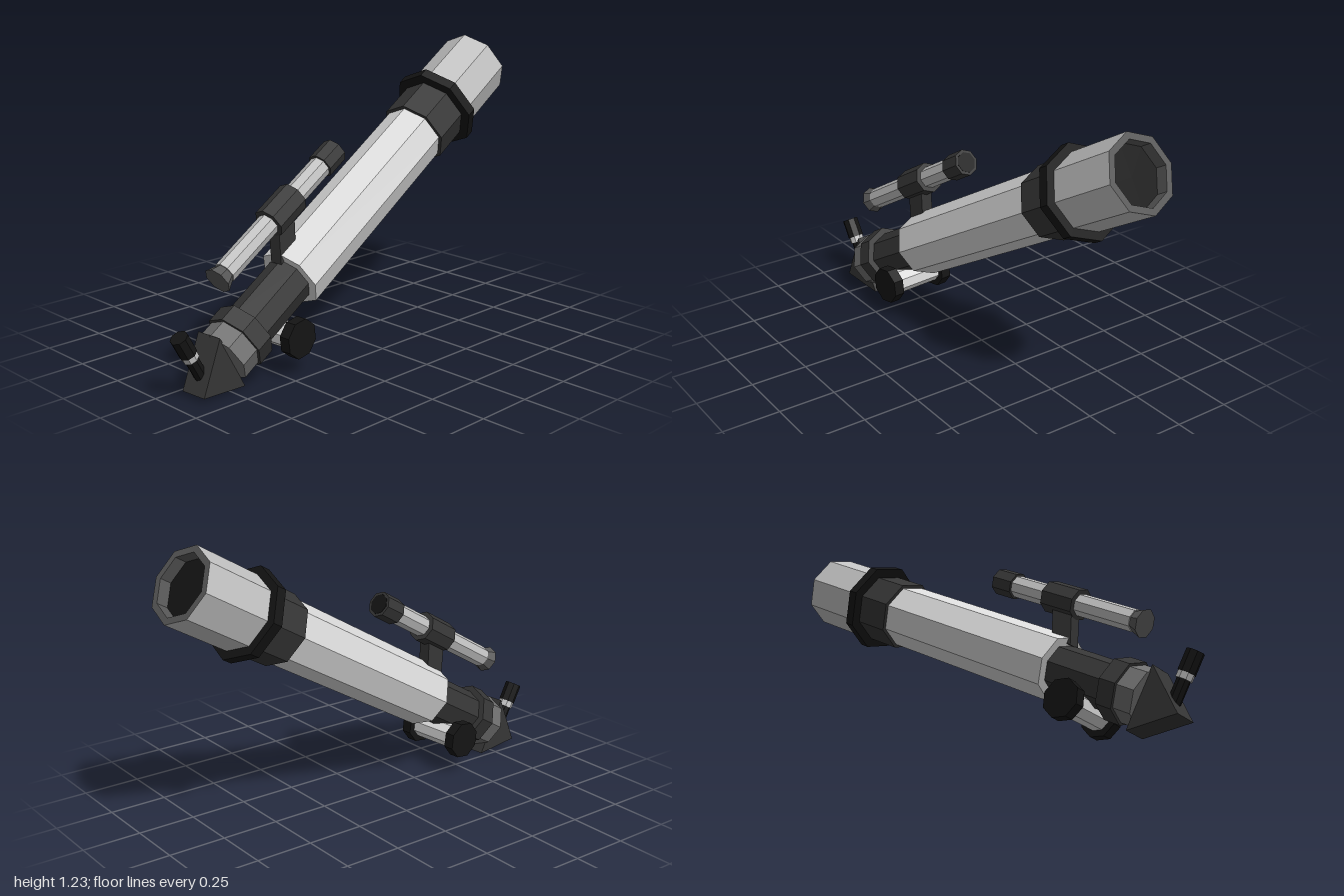
import * as THREE from 'three';

const mat = (name, color) => {
  const m = new THREE.MeshStandardMaterial({ color });
  m.name = name;
  return m;
};

export function createModel() {
  const light = mat('light grey', 0xdadada);
  const silver = mat('silver grey', 0xc2c2c2);
  const grey = mat('mid grey', 0x707070);
  const rimGrey = mat('rim grey', 0x585858);
  const dark = mat('dark grey', 0x363636);
  const black = mat('black', 0x141414);

  // Everything is built along the optical axis (local +x), then tilted and yawed.
  const scope = new THREE.Group();
  scope.name = 'telescope';

  // Faceted mesh: unshared corners give flat normals
  const add = (name, geometry, material, x = 0, y = 0, z = 0) => {
    const g = geometry.index ? geometry.toNonIndexed() : geometry;
    g.computeVertexNormals();
    const mesh = new THREE.Mesh(g, material);
    mesh.name = name;
    mesh.position.set(x, y, z);
    scope.add(mesh);
    return mesh;
  };

  // Eight-sided section along the axis from x0 (radius r0) to x1 (radius r1)
  const section = (name, material, x0, x1, r0, r1 = r0, y = 0, z = 0) =>
    add(name, new THREE.CylinderGeometry(r1, r0, x1 - x0, 8).rotateZ(-Math.PI / 2),
      material, (x0 + x1) / 2, y, z);

  // Eight-sided open shell from [radius, axial position] points
  const shell = (name, material, points) =>
    add(name, new THREE.LatheGeometry(points.map(p => new THREE.Vector2(...p)), 8)
      .rotateZ(-Math.PI / 2), material);

  // Side-profile plate extruded across the width
  const plate = (name, material, points, width, z = 0) => {
    const shape = new THREE.Shape(points.map(p => new THREE.Vector2(...p)));
    return add(name, new THREE.ExtrudeGeometry(shape, { depth: width, bevelEnabled: false }),
      material, 0, 0, z - width / 2);
  };

  // Main tube, collar and ring
  section('mainTube', light, -0.135, 0.83, 0.14);
  section('tubeCollar', dark, 0.815, 0.99, 0.155);
  section('tubeRing', black, 0.985, 1.03, 0.197);

  // Hollow hood with a recessed lens
  shell('hood', silver, [[0.16, 1.0], [0.16, 1.348]]);
  shell('hoodRim', rimGrey, [[0.16, 1.348], [0.131, 1.348], [0.131, 1.29]]);
  section('lens', black, 1.28, 1.296, 0.132);

  // Focuser
  section('drawTube', dark, -0.44, -0.13, 0.103);
  section('focuserRing', dark, -0.505, -0.427, 0.132);
  section('focuserEndRing', grey, -0.588, -0.5, 0.12);

  // Focus axle with a knob on each side
  const knobX = -0.317, knobY = -0.124;
  add('focusAxle', new THREE.CylinderGeometry(0.055, 0.055, 0.24, 8).rotateX(Math.PI / 2),
    light, knobX, knobY, -0.005);
  for (const side of [1, -1]) {
    add(side > 0 ? 'leftFocusKnob' : 'rightFocusKnob',
      new THREE.CylinderGeometry(0.083, 0.083, 0.048, 8).rotateX(Math.PI / 2),
      black, knobX, knobY, side * 0.135 - 0.005);
  }

  // Diagonal prism and eyepiece
  plate('diagonalPrism', dark, [[-0.583, 0.122], [-0.771, -0.022], [-0.589, -0.146]], 0.12, -0.008);
  const upright = (name, material, y0, y1, r) =>
    add(name, new THREE.CylinderGeometry(r, r, y1 - y0, 8), material, -0.7, (y0 + y1) / 2, -0.01);
  upright('eyepieceStem', black, 0.0, 0.12, 0.028);
  upright('eyepieceRing', silver, 0.11, 0.138, 0.034);
  upright('eyepieceCap', black, 0.138, 0.226, 0.037);

  // Finder scope and its bracket
  const fy = 0.272, fz = -0.01;
  section('finderTube', silver, -0.39, 0.27, 0.047, 0.047, fy, fz);
  section('finderCollar', dark, -0.103, 0.063, 0.068, 0.068, fy, fz);
  section('finderHood', dark, 0.255, 0.36, 0.057, 0.057, fy, fz);
  section('finderEyepiece', rimGrey, -0.435, -0.375, 0.06, 0.036, fy, fz);
  section('finderLens', black, 0.355, 0.362, 0.045, 0.045, fy, fz);
  plate('finderBracket', dark,
    [[-0.155, 0.1], [-0.055, 0.1], [0.005, 0.215], [-0.1, 0.215]], 0.055, fz);

  scope.rotation.set(0, THREE.MathUtils.degToRad(5), THREE.MathUtils.degToRad(30));
  scope.position.set(-0.2435, 0.4287, 0.0564);

  const model = new THREE.Group();
  model.name = 'model';
  model.add(scope);
  return model;
}
